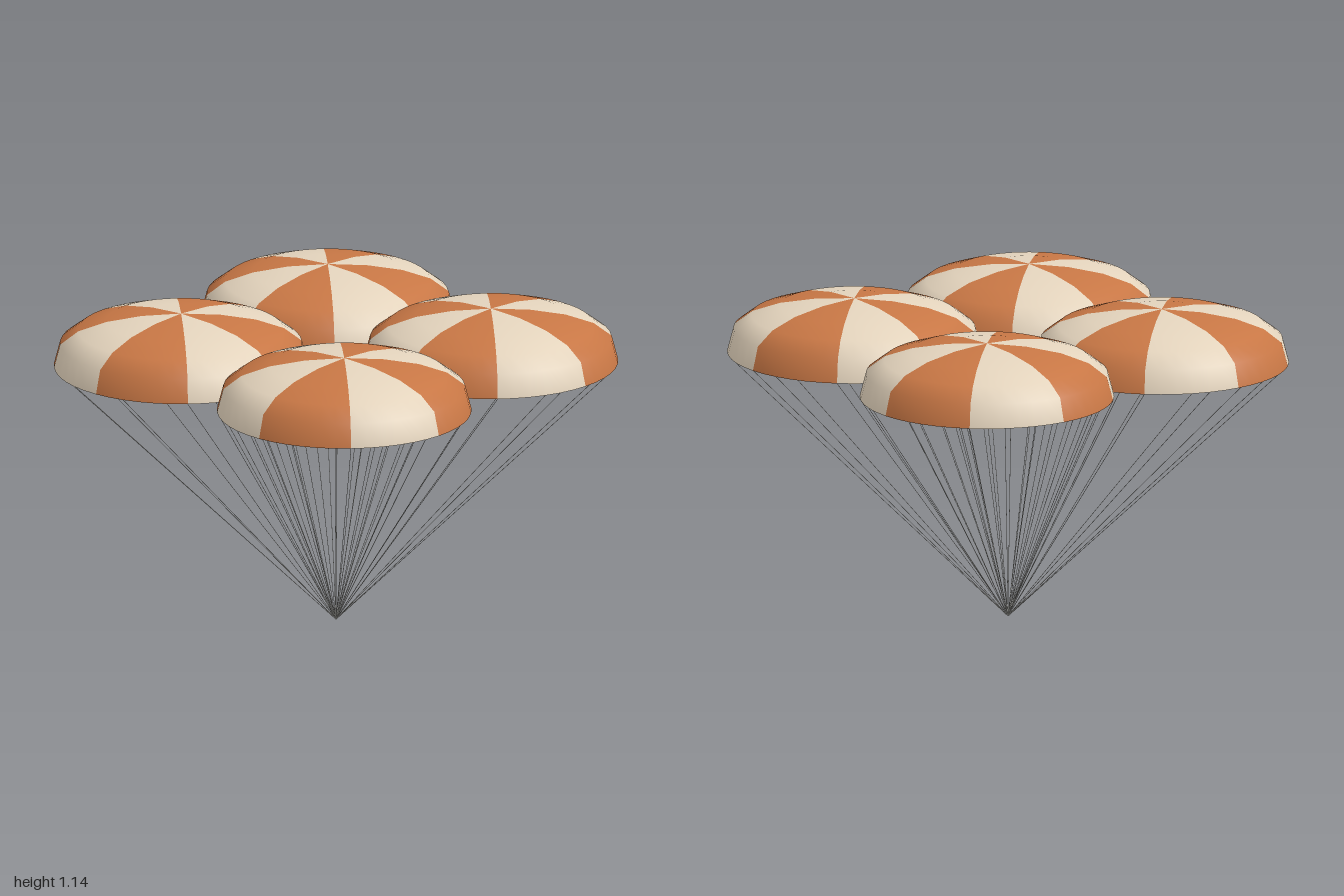
import * as THREE from 'three';

const RIM_Y = 0.95, RISE = 0.193, RADIUS = 0.45, OFFSET = 0.548;
const PANELS = 8, LINES = 12, RINGS = 5;

export function createModel() {
  const orange = new THREE.MeshStandardMaterial({ color: 0xc87745, side: THREE.DoubleSide });
  orange.name = 'orange fabric';
  const cream = new THREE.MeshStandardMaterial({ color: 0xe4d4bd, side: THREE.DoubleSide });
  cream.name = 'cream fabric';
  const cord = new THREE.MeshStandardMaterial({ color: 0xd2d2cc });
  cord.name = 'pale cord';

  // Flattened dome profile, from the rim up to the crown
  const profile = [];
  for (let i = 0; i <= RINGS; i++) {
    const a = (i / RINGS) * Math.PI / 2;
    profile.push(new THREE.Vector2(
      i === RINGS ? 0 : RADIUS * Math.cos(a),
      RISE * Math.pow(Math.sin(a), 0.7)
    ));
  }
  const step = (Math.PI * 2) / PANELS;
  const panels = Array.from({ length: PANELS }, (_, i) =>
    new THREE.LatheGeometry(profile, 6, i * step, step));

  // Thin straight cord between two points
  const up = new THREE.Vector3(0, 1, 0);
  function makeCord(from, to) {
    const dir = to.clone().sub(from);
    const mesh = new THREE.Mesh(new THREE.CylinderGeometry(0.001, 0.001, dir.length(), 5), cord);
    mesh.position.copy(from).add(to).multiplyScalar(0.5);
    mesh.quaternion.setFromUnitVectors(up, dir.normalize());
    mesh.name = 'suspensionLine';
    return mesh;
  }

  const model = new THREE.Group();
  model.name = 'parachuteCluster';
  const knot = new THREE.Vector3(0, 0, 0);
  const places = { front: [0, 1], left: [1, 0], back: [0, -1], right: [-1, 0] };

  for (const [side, [sx, sz]] of Object.entries(places)) {
    const x = sx * OFFSET, z = sz * OFFSET;

    // Canopy of alternating gores
    const canopy = new THREE.Group();
    canopy.name = side + 'Canopy';
    canopy.position.set(x, RIM_Y, z);
    panels.forEach((geometry, i) => {
      const panel = new THREE.Mesh(geometry, i % 2 ? orange : cream);
      panel.name = 'canopyPanel';
      canopy.add(panel);
    });

    // Lines from the rim down to the shared knot
    const lines = new THREE.Group();
    lines.name = side + 'Lines';
    for (let i = 0; i < LINES; i++) {
      const a = (i / LINES) * Math.PI * 2;
      const rim = new THREE.Vector3(x + RADIUS * Math.sin(a), RIM_Y, z + RADIUS * Math.cos(a));
      lines.add(makeCord(knot, rim));
    }
    model.add(canopy, lines);
  }
  return model;
}
